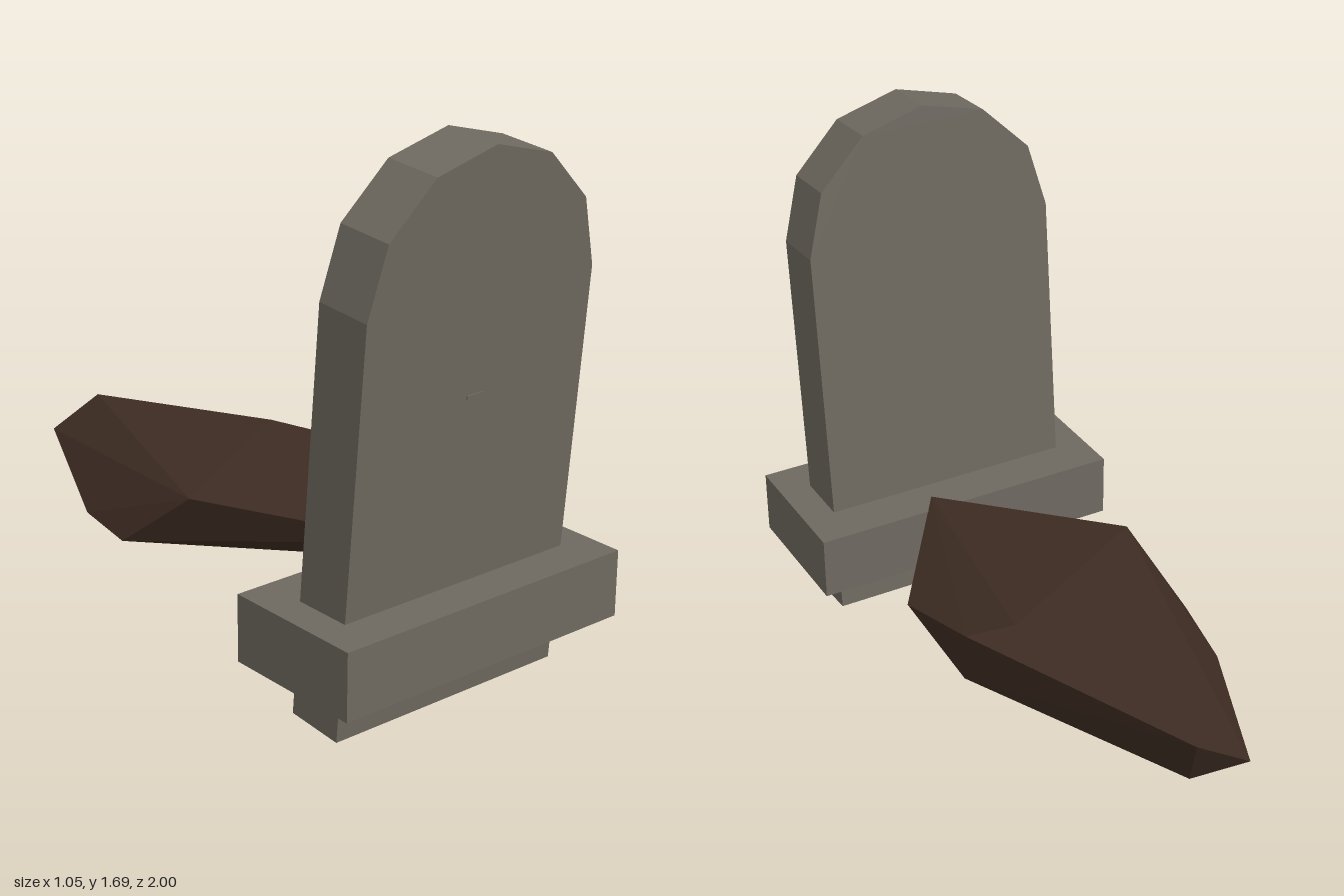
import * as THREE from 'three';
import { ConvexGeometry } from 'three/addons/geometries/ConvexGeometry.js';

export function createModel() {
  const stone = new THREE.MeshStandardMaterial({ color: 0x6e6960 });
  stone.name = 'weathered stone';
  stone.flatShading = true;
  const earth = new THREE.MeshStandardMaterial({ color: 0x3d2c22 });
  earth.name = 'dark earth';
  earth.flatShading = true;

  const group = new THREE.Group();
  group.name = 'graveMarker';
  const add = (name, geometry, material, parent = group) => {
    const mesh = new THREE.Mesh(geometry, material);
    mesh.name = name;
    parent.add(mesh);
    return mesh;
  };

  // Leaning headstone with a six-sided arched top
  const radius = 0.42, shoulder = 1.26, depth = 0.19;
  const outline = [new THREE.Vector2(-radius, 0), new THREE.Vector2(radius, 0)];
  for (let i = 0; i <= 6; i++) {
    const a = (i / 6) * Math.PI;
    outline.push(new THREE.Vector2(Math.cos(a) * radius, shoulder + Math.sin(a) * radius));
  }
  const slab = new THREE.ExtrudeGeometry(new THREE.Shape(outline), { depth, bevelEnabled: false });
  slab.translate(0, 0, -depth / 2);
  const headstone = new THREE.Group();
  headstone.name = 'headstone';
  headstone.position.set(0, 0.0075, 0.743);
  headstone.rotation.x = 0.08;
  group.add(headstone);
  add('slab', slab, stone, headstone);

  // Small chip standing just proud of the face
  add('chip', new THREE.BoxGeometry(0.06, 0.012, 0.006), stone, headstone)
    .position.set(0, 0.96, depth / 2);

  // Plinth block around the foot of the slab
  add('plinth', new THREE.BoxGeometry(1.05, 0.21, 0.47), stone).position.set(0, 0.27, 0.765);

  // Faceted mound of earth behind the stone
  const corners = [
    [0.10, 0.38, 0.60], [0.42, 0.34, 0.135], [0.39, 0.42, -0.20],
    [0.26, 0.467, -0.28], [-0.32, 0.448, 0.04], [-0.40, 0.25, -0.20],
    [-0.35, 0.245, -0.46], [-0.11, 0.31, -1.0], [0.055, 0.405, -0.97],
    [0.03, 0.23, -0.90], [0.37, 0.222, -0.15], [0.16, 0.22, 0.31],
  ].map((p) => new THREE.Vector3(...p));
  add('earthMound', new ConvexGeometry(corners), earth);

  return group;
}
